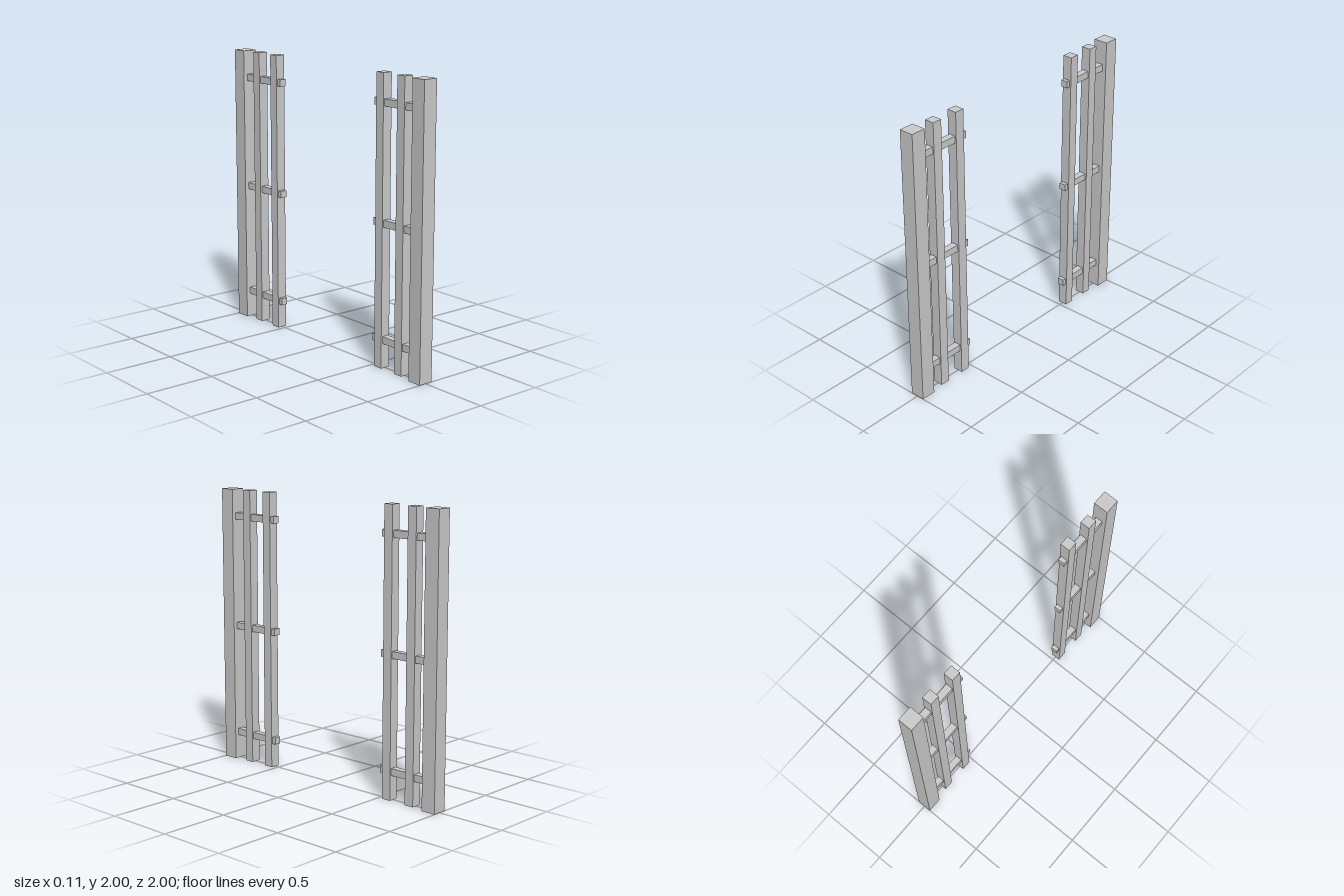
import * as THREE from 'three';

const material = new THREE.MeshStandardMaterial({ color: 0xcccccc, flatShading: true });

function addBox(parent, name, w, h, d, y, z) {
  const mesh = new THREE.Mesh(new THREE.BoxGeometry(w, h, d), material);
  mesh.name = name;
  mesh.position.set(0, y, z);
  parent.add(mesh);
}

// One fence half: wall post, two slim uprights and three rails, lying along +z
function createPanel(name) {
  const panel = new THREE.Group();
  panel.name = name;
  addBox(panel, 'post', 0.106, 2, 0.108, 1, 0.946);
  [0.766, 0.566].forEach((z, i) => addBox(panel, `upright${i + 1}`, 0.07, 2, 0.07, 1, z));
  [0.2, 1.003, 1.806].forEach((y, i) => addBox(panel, `rail${i + 1}`, 0.049, 0.049, 0.4, y, 0.702));
  return panel;
}

export function createModel() {
  const model = new THREE.Group();
  model.name = 'fenceWithGap';
  const back = createPanel('backPanel');
  back.rotation.y = Math.PI;
  model.add(createPanel('frontPanel'), back);
  return model;
}
